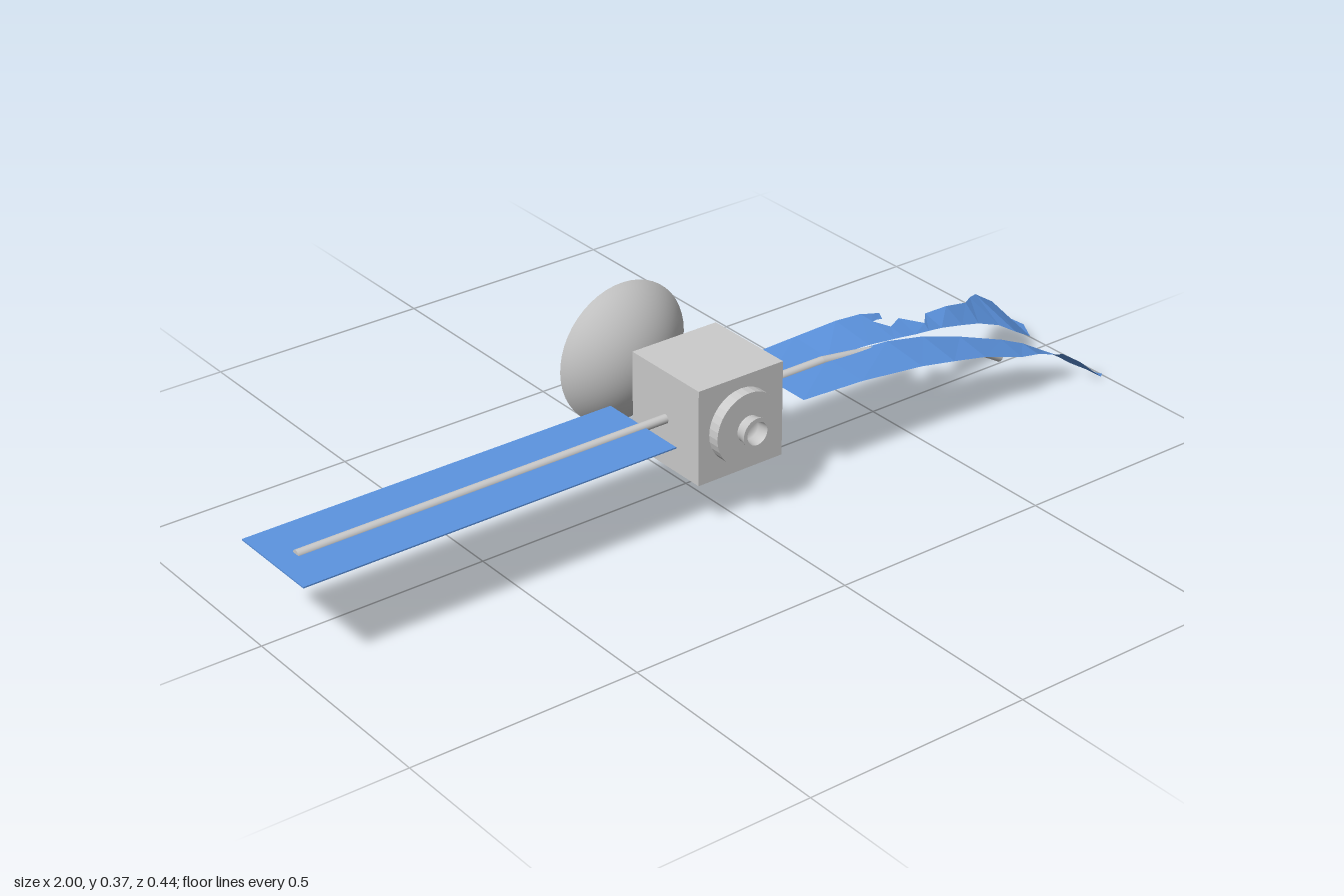
import * as THREE from 'three';

const CX = 0.005, CY = 0.212, PZ = 0.063; // body axis, and z of the panel spars

const grey = new THREE.MeshStandardMaterial({ color: 0xcccccc, side: THREE.DoubleSide });
const greyFlat = new THREE.MeshStandardMaterial({ color: 0xcccccc, flatShading: true });
const blue = new THREE.MeshStandardMaterial({ color: 0x5c94e0, flatShading: true, side: THREE.DoubleSide });

function add(group, name, geometry, material) {
  const mesh = new THREE.Mesh(geometry, material);
  mesh.name = name;
  group.add(mesh);
  return mesh;
}

// Surface of revolution about the z axis; profile points are [radius, z]
function turned(points, segments = 40) {
  return new THREE.LatheGeometry(points.map(([r, z]) => new THREE.Vector2(r, z)), segments)
    .rotateX(Math.PI / 2).translate(CX, CY, 0);
}

// Sheet stretched between two edges with equal numbers of [x, y, z] points
function ribbon(edgeA, edgeB) {
  const index = [], n = edgeA.length;
  for (let i = 0; i < n - 1; i++) index.push(i, n + i, i + 1, i + 1, n + i, n + i + 1);
  const g = new THREE.BufferGeometry();
  g.setAttribute('position', new THREE.Float32BufferAttribute([...edgeA, ...edgeB].flat(), 3));
  g.setIndex(index);
  g.computeVertexNormals();
  return g;
}

// Straight round bar between two points
function bar(a, b, radius) {
  const dir = b.clone().sub(a);
  const g = new THREE.CylinderGeometry(radius, radius, dir.length(), 16);
  g.applyQuaternion(new THREE.Quaternion().setFromUnitVectors(new THREE.Vector3(0, 1, 0), dir.normalize()));
  const mid = a.clone().add(b).multiplyScalar(0.5);
  return g.translate(mid.x, mid.y, mid.z);
}

export function createModel() {
  const model = new THREE.Group();
  model.name = 'satellite';

  // Body with a pyramid tapering to the dish neck
  add(model, 'body', new THREE.BoxGeometry(0.21, 0.21, 0.214).translate(CX, CY, PZ), greyFlat);
  const k = Math.SQRT2;
  const taper = new THREE.CylinderGeometry(0.012 * k, 0.105 * k, 0.096, 4)
    .rotateY(Math.PI / 4).rotateX(-Math.PI / 2).translate(CX, CY, -0.092);
  add(model, 'rearTaper', taper, greyFlat);
  add(model, 'dishNeck',
    new THREE.CylinderGeometry(0.012, 0.012, 0.02, 16).rotateX(Math.PI / 2).translate(CX, CY, -0.148), grey);

  // Dish: a thin shell, outer curve out to the rim and inner curve back
  const cap = (radius, depth, apex) => {
    const R = (radius * radius + depth * depth) / (2 * depth), max = Math.asin(radius / R);
    return Array.from({ length: 13 }, (_, i) => {
      const a = max * i / 12;
      return [R * Math.sin(a), apex - R * (1 - Math.cos(a))];
    });
  };
  const dish = new THREE.Group();
  dish.name = 'dish';
  model.add(dish);
  add(dish, 'dishBack', turned(cap(0.158, 0.066, -0.152), 48), grey);
  add(dish, 'dishBowl', turned(cap(0.148, 0.058, -0.16), 48), grey);
  add(dish, 'dishRim', turned([[0.158, -0.218], [0.148, -0.218]], 48), grey);
  add(dish, 'dishFeed',
    new THREE.CylinderGeometry(0.002, 0.003, 0.025, 8).rotateX(-Math.PI / 2).translate(CX, CY, -0.172), grey);

  // Front mounting disc and flared, hollow nozzle
  add(model, 'frontDisc',
    new THREE.CylinderGeometry(0.079, 0.079, 0.028, 32).rotateX(Math.PI / 2).translate(CX, CY, 0.182), greyFlat);
  const nozzle = new THREE.Group();
  nozzle.name = 'nozzle';
  model.add(nozzle);
  add(nozzle, 'nozzleOuter', turned([[0.029, 0.195], [0.029, 0.202], [0.034, 0.222]]), grey);
  add(nozzle, 'nozzleLip', turned([[0.034, 0.222], [0.025, 0.222]]), grey);
  add(nozzle, 'nozzleInner', turned([[0.025, 0.222], [0.021, 0.198], [0, 0.198]]), grey);

  // Intact panel and its spar
  add(model, 'rightPanel',
    new THREE.BoxGeometry(0.845, 0.003, 0.214).translate(-0.5775, CY, PZ), blue);
  add(model, 'rightSpar',
    bar(new THREE.Vector3(-0.95, CY, PZ), new THREE.Vector3(-0.08, CY, PZ), 0.01), grey);

  // Bent spar, with a ball at each kink
  const leftSpar = new THREE.Group();
  leftSpar.name = 'leftSpar';
  model.add(leftSpar);
  const path = [[0.09, CY], [0.3, CY], [0.48, 0.187], [0.68, 0.132], [0.8, 0.062]]
    .map(([x, y]) => new THREE.Vector3(x, y, PZ));
  for (let i = 0; i < path.length - 1; i++) {
    add(leftSpar, 'sparSection', bar(path[i], path[i + 1], 0.01), grey);
    if (i) add(leftSpar, 'sparKink',
      new THREE.SphereGeometry(0.01, 12, 8).translate(path[i].x, path[i].y, PZ), grey);
  }

  // Torn panel: front strip, drooping to a ragged point
  const leftPanel = new THREE.Group();
  leftPanel.name = 'leftTornPanel';
  model.add(leftPanel);
  add(leftPanel, 'frontStrip', ribbon(
    [[0.165, CY, 0.06], [0.32, CY, 0.06], [0.48, 0.2, 0.06], [0.58, 0.18, 0.06], [0.68, 0.15, 0.065],
      [0.79, 0.113, 0.077], [0.84, 0.094, 0.09], [0.885, 0.07, 0.11], [0.92, 0.048, 0.12],
      [0.945, 0.03, 0.132], [0.98, 0.01, 0.15], [0.998, 0.002, 0.162]],
    [[0.165, CY, 0.17], [0.32, 0.205, 0.17], [0.48, 0.187, 0.17], [0.57, 0.17, 0.17], [0.66, 0.15, 0.167],
      [0.76, 0.12, 0.172], [0.82, 0.103, 0.16], [0.865, 0.09, 0.165], [0.9, 0.075, 0.154],
      [0.945, 0.045, 0.162], [0.978, 0.012, 0.194], [0.998, 0.006, 0.178]]), blue);

  // Rear strip: flat root, notched edge, then a broad drooping end
  add(leftPanel, 'rearStrip', ribbon(
    [[0.165, CY, -0.047], [0.32, 0.217, -0.047], [0.43, 0.22, -0.047], [0.5, 0.213, -0.05],
      [0.505, 0.208, -0.015], [0.53, 0.2, 0.014], [0.575, 0.195, -0.013], [0.615, 0.186, 0.024],
      [0.65, 0.183, -0.013], [0.72, 0.174, -0.025], [0.8, 0.148, -0.05], [0.84, 0.137, -0.08],
      [0.875, 0.126, -0.1], [0.93, 0.09, -0.104], [0.985, 0.032, -0.11]],
    [[0.165, CY, 0.06], [0.32, CY, 0.06], [0.43, 0.207, 0.06], [0.49, 0.2, 0.06],
      [0.5, 0.199, 0.06], [0.525, 0.196, 0.06], [0.56, 0.19, 0.058], [0.605, 0.181, 0.05],
      [0.65, 0.17, 0.04], [0.72, 0.15, 0.028], [0.78, 0.13, 0.015], [0.85, 0.1, 0.005],
      [0.885, 0.08, 0.022], [0.95, 0.04, 0], [0.992, 0.03, -0.065]]), blue);
  add(leftPanel, 'rearFlap', ribbon(
    [[0.5, 0.213, -0.05], [0.53, 0.205, -0.049], [0.556, 0.197, -0.054]],
    [[0.505, 0.208, -0.015], [0.525, 0.203, -0.024], [0.54, 0.199, -0.025]]), blue);

  return model;
}
